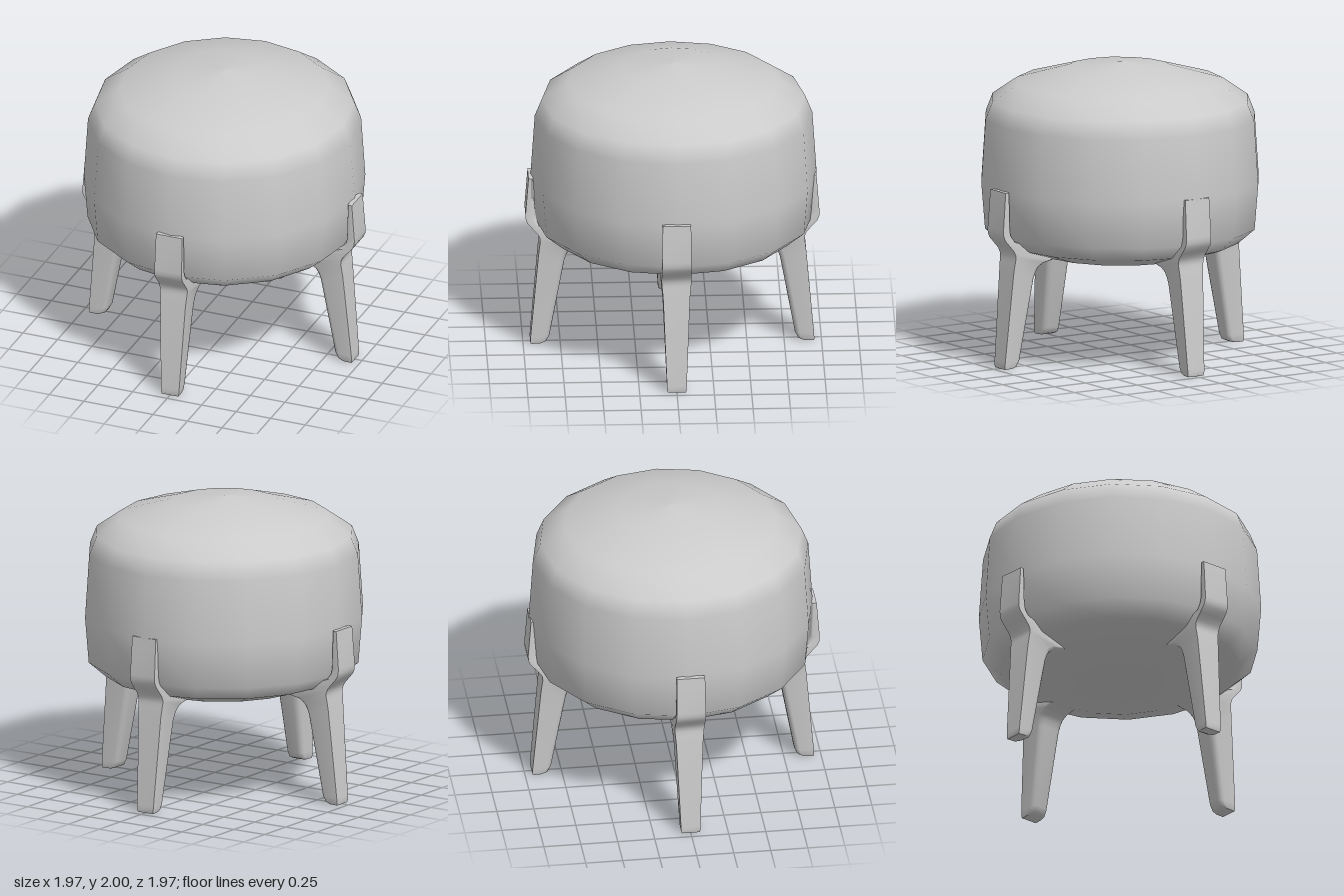
import * as THREE from 'three';
import { toCreasedNormals } from 'three/addons/utils/BufferGeometryUtils.js';

const grey = new THREE.MeshStandardMaterial({ color: 0xcccccc });

// Domed cushion: 16-sided lathe with smooth normals
function makeCushion() {
  const profile = [
    [0, 0.675], [0.3, 0.685], [0.55, 0.71], [0.8, 0.79], [0.915, 0.89], [0.94, 1.2],
    [0.912, 1.63], [0.865, 1.75], [0.7, 1.865], [0.345, 1.965], [0, 2],
  ].map(([r, y]) => new THREE.Vector2(r, y));
  const cushion = new THREE.Mesh(new THREE.LatheGeometry(profile, 16), grey);
  cushion.scale.z = 1.02;
  cushion.position.z = -0.01;
  cushion.name = 'cushion';
  return cushion;
}

// Leg sections from foot to tip: outer r, outer y, inner r, inner y, half width
const LEG = [
  [0.948, 0, 0.87, 0.003, 0.06],
  [0.952, 0.015, 0.842, 0.015, 0.064],
  [0.95, 0.05, 0.822, 0.055, 0.066],
  [0.897, 0.66, 0.723, 0.6, 0.09],
  [0.89, 0.72, 0.708, 0.645, 0.095],
  [0.886, 0.75, 0.69, 0.675, 0.098],
  [0.887, 0.775, 0.65, 0.702, 0.1],
  [0.9, 0.805, 0.56, 0.72, 0.1],
  [0.935, 0.845, 0.64, 0.78, 0.1],
  [0.97, 0.885, 0.88, 0.87, 0.1],
  [0.983, 0.915, 0.91, 0.91, 0.099],
  [0.985, 0.95, 0.92, 0.95, 0.098],
  [0.965, 1.21, 0.93, 1.21, 0.095],
];

// Flat outer face, rounded inner face, lofted through the sections
function makeLegGeometry() {
  const positions = [], indices = [], steps = 4;
  for (const [ro, yo, ri, yi, w] of LEG) {
    const depth = Math.hypot(ro - ri, yo - yi);
    const cd = Math.min(0.035, depth * 0.3) / depth;
    const cw = w * 0.55;
    const ring = [[0, w], [0, -w]];
    for (const side of [-1, 1]) {
      for (let i = 0; i <= steps; i++) {
        const a = (side < 0 ? i : steps - i) / steps * Math.PI / 2;
        ring.push([1 - cd + cd * Math.sin(a), side * (w - cw + cw * Math.cos(a))]);
      }
    }
    for (const [t, z] of ring) positions.push(ro + (ri - ro) * t, yo + (yi - yo) * t, z);
  }
  const n = 2 + 2 * (steps + 1), top = (LEG.length - 1) * n;
  for (let s = 0; s < LEG.length - 1; s++) {
    for (let k = 0; k < n; k++) {
      const a = s * n + k, b = s * n + (k + 1) % n;
      indices.push(a, b, b + n, a, b + n, a + n);
    }
  }
  for (let k = 1; k < n - 1; k++) {
    indices.push(0, k + 1, k, top, top + k, top + k + 1);
  }
  const geometry = new THREE.BufferGeometry();
  geometry.setAttribute('position', new THREE.Float32BufferAttribute(positions, 3));
  geometry.setIndex(indices);
  return toCreasedNormals(geometry, 0.75);
}

export function createModel() {
  const model = new THREE.Group();
  model.name = 'stool';
  model.add(makeCushion());

  // Four matching legs, one on each side
  const legGeometry = makeLegGeometry();
  ['leftLeg', 'backLeg', 'rightLeg', 'frontLeg'].forEach((name, i) => {
    const leg = new THREE.Mesh(legGeometry, grey);
    leg.rotation.y = i * Math.PI / 2;
    leg.name = name;
    model.add(leg);
  });
  return model;
}
